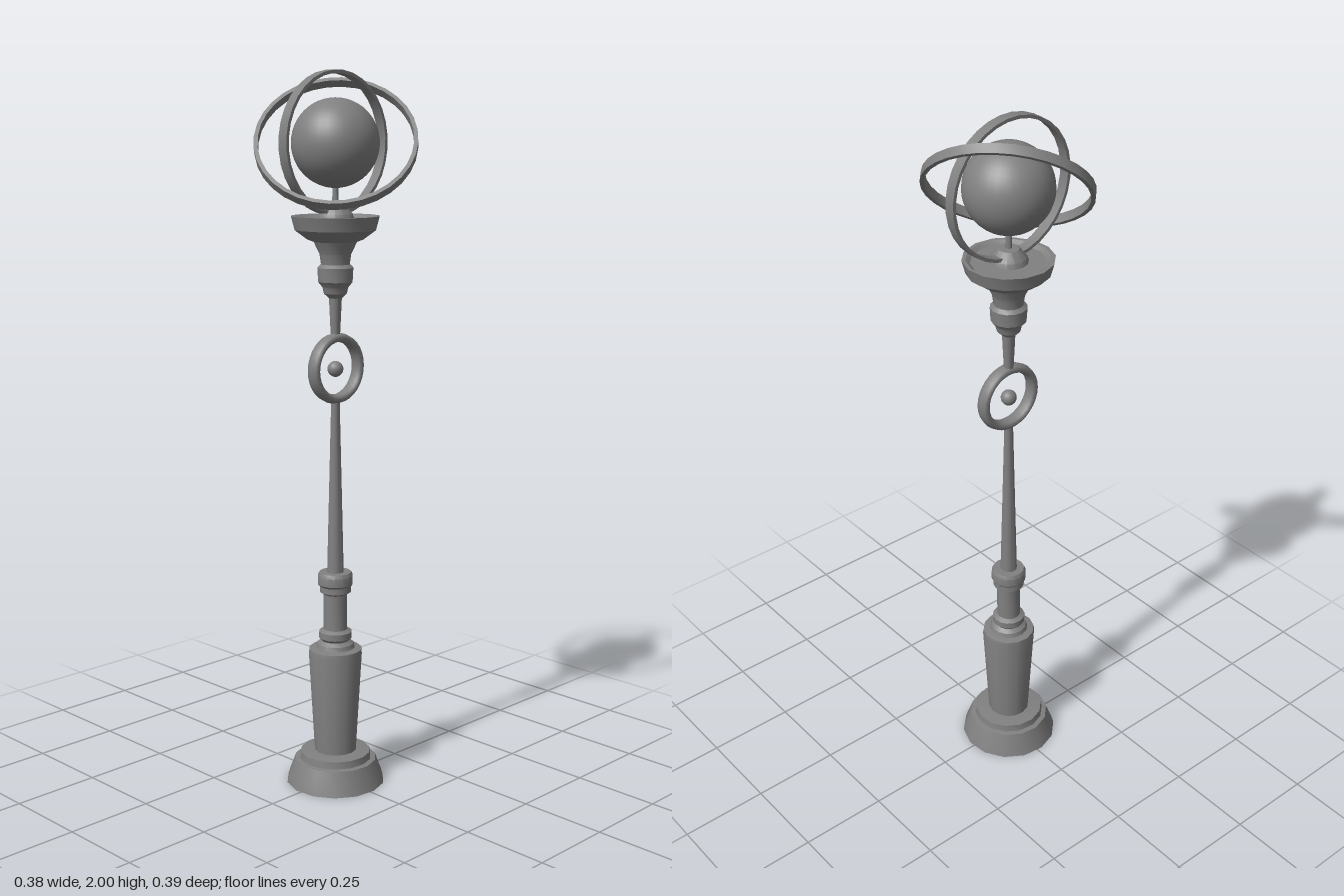
import * as THREE from 'three';
import { toCreasedNormals } from 'three/addons/utils/BufferGeometryUtils.js';

const metal = new THREE.MeshStandardMaterial({ color: 0x808080 });

function part(name, geometry, y = 0) {
  const mesh = new THREE.Mesh(geometry, metal);
  mesh.name = name;
  mesh.position.set(-0.002, y, 0);
  return mesh;
}

// Turned part from [radius, height] pairs, listed bottom to top
function turned(name, profile, sides = 14) {
  const points = profile.map(([r, y]) => new THREE.Vector2(r, y));
  const geometry = new THREE.LatheGeometry(points, sides, 0.1);
  return part(name, toCreasedNormals(geometry, 0.5));
}

// Flat hoop around the globe, facing along the given axis
function hoop(name, radius, thickness, halfWidth, axis) {
  const inner = radius - thickness;
  const mesh = turned(name, [
    [inner, -halfWidth], [radius, -halfWidth], [radius, halfWidth],
    [inner, halfWidth], [inner, -halfWidth],
  ], 32);
  mesh.quaternion.setFromUnitVectors(new THREE.Vector3(0, 1, 0), axis.normalize());
  return mesh;
}

export function createModel() {
  const model = new THREE.Group();
  model.name = 'streetLamp';
  const globeY = 1.81;

  // Stepped foot
  model.add(turned('foot', [
    [0, 0], [0.141, 0], [0.135, 0.02], [0.117, 0.068], [0.103, 0.07],
    [0.1, 0.09], [0.06, 0.094], [0, 0.094],
  ]));

  // Pedestal widening upward
  model.add(turned('pedestal', [
    [0.06, 0.09], [0.077, 0.385], [0.075, 0.397], [0.05, 0.402], [0, 0.402],
  ]));

  // Collars around the lower shaft
  model.add(turned('lowerShaft', [
    [0.056, 0.4], [0.052, 0.413], [0.04, 0.422], [0.047, 0.43], [0.047, 0.448],
    [0.034, 0.455], [0.034, 0.558], [0.045, 0.565], [0.045, 0.582],
    [0.05, 0.588], [0.05, 0.612], [0.045, 0.622], [0, 0.622],
  ]));

  // Slender pole, interrupted by the ring
  model.add(turned('pole', [[0.024, 0.615], [0.012, 1.115], [0, 1.115]]));

  // Ornamental ring with a small ball in its middle
  const ring = part('poleRing', new THREE.TorusGeometry(0.085, 0.013, 8, 32), 1.202);
  ring.scale.z = 1.6;
  ring.position.z = 0.003;
  model.add(ring);
  model.add(part('ringBall', new THREE.SphereGeometry(0.022, 16, 12), 1.2));

  // Upper pole, capital, dish and globe stem
  model.add(turned('capital', [
    [0, 1.29], [0.013, 1.29], [0.018, 1.395], [0.032, 1.408], [0.036, 1.425],
    [0.048, 1.44], [0.05, 1.478], [0.04, 1.487], [0.044, 1.515], [0.06, 1.548],
    [0.078, 1.555], [0.112, 1.58], [0.122, 1.617], [0.112, 1.617], [0.1, 1.608],
    [0.052, 1.608], [0.048, 1.622], [0.028, 1.645], [0.009, 1.647], [0.008, 1.71],
  ]));

  // Globe
  model.add(part('globe', new THREE.SphereGeometry(0.119, 32, 24), globeY));

  // Upright and tilted hoops around the globe
  const upright = hoop('uprightHoop', 0.191, 0.009, 0.015, new THREE.Vector3(0, 0, 1));
  upright.position.set(-0.002, globeY, -0.003);
  const tilted = hoop('tiltedHoop', 0.22, 0.011, 0.013, new THREE.Vector3(-0.554, 0.668, 0.498));
  tilted.position.set(0, globeY + 0.002, 0);
  model.add(upright, tilted);

  return model;
}
